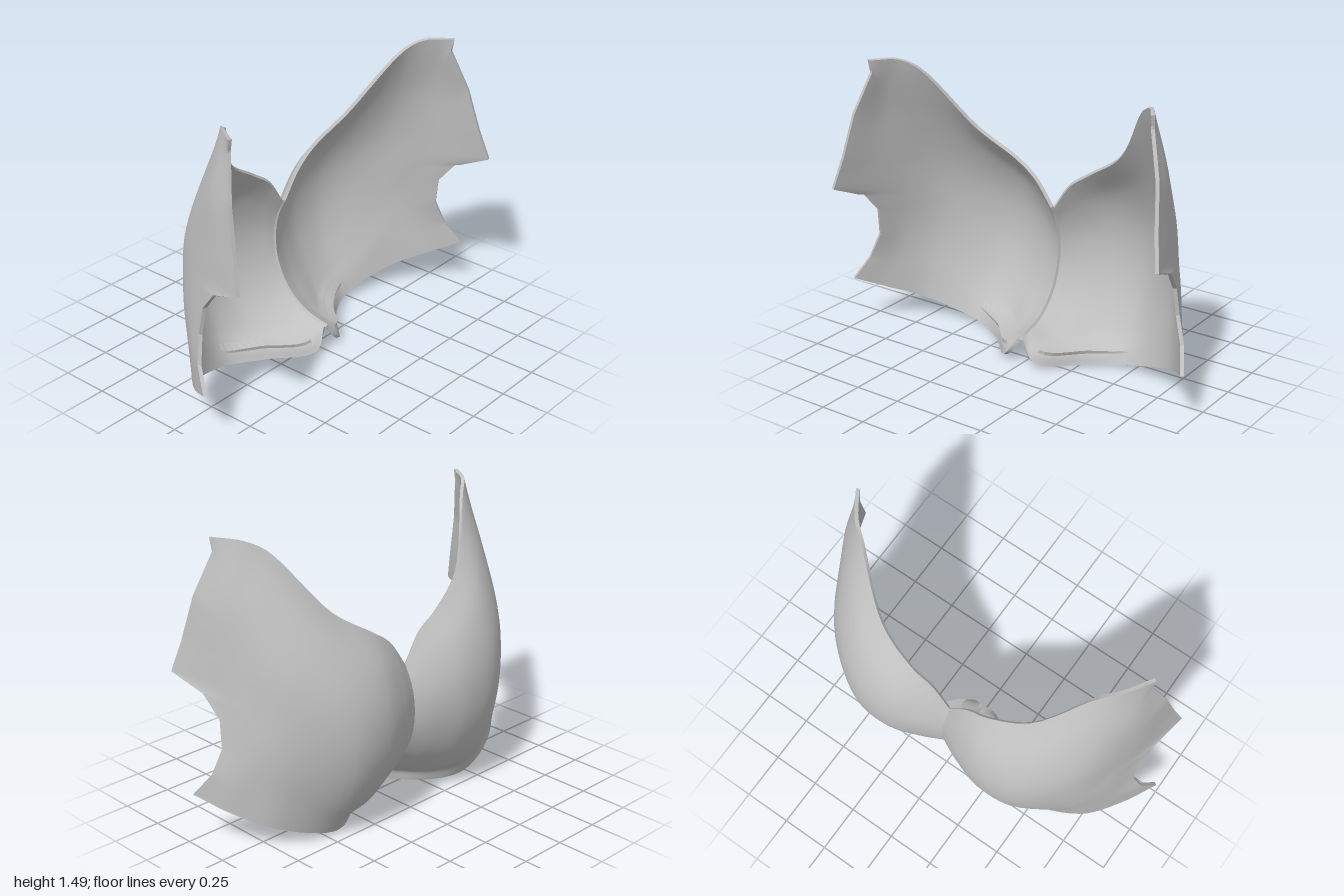
import * as THREE from 'three';

const THICK = 0.018, NU = 36, NV = 54;
const V = (x, y, z) => new THREE.Vector3(x, y, z);
const curve = pts => new THREE.CatmullRomCurve3(pts.map(p => V(...p)));

// Upright rails of one half, from the centre seam outwards, each bottom to top
const rails = [
  curve([[0, .14, .08], [0, .15, .03], [0, .19, -.09], [0, .29, -.2], [0, .43, -.262], [0, .57, -.272], [0, .68, -.25], [0, .77, -.205]]),
  curve([[.08, .042, .085], [.085, .085, .055], [.1, .125, -.09], [.11, .25, -.235], [.12, .43, -.318], [.12, .62, -.333], [.115, .78, -.285], [.1, .91, -.2]]),
  curve([[.26, .01, -.09], [.265, .065, -.12], [.27, .125, -.215], [.28, .27, -.312], [.28, .46, -.373], [.28, .67, -.377], [.26, .85, -.32], [.22, .995, -.2]]),
  curve([[.46, .025, -.185], [.465, .09, -.215], [.47, .19, -.27], [.47, .36, -.335], [.475, .55, -.363], [.475, .76, -.342], [.46, .97, -.26], [.42, 1.13, -.145]]),
  curve([[.75, .12, -.11], [.725, .27, -.15], [.715, .45, -.19], [.71, .65, -.2], [.72, .87, -.16], [.71, 1.17, -.055], [.65, 1.44, .03]]),
  curve([[.9, .2, .045], [.85, .4, -.03], [.82, .6, -.06], [.83, .78, .0], [.855, .95, .1], [.82, 1.22, .1], [.735, 1.488, .1]]),
];

// Outer edge with sharp corners around the arm opening and shoulder
const edge = [[1, .28, .2], [.95, .39, .12], [.905, .52, .09], [.895, .66, .11], [.915, .77, .2],
  [.955, .84, .38], [.92, 1.0, .335], [.885, 1.22, .28], [.815, 1.43, .215], [.82, 1.495, .225]].map(p => V(...p));
function edgePoint(v) {
  const f = v * (edge.length - 1), i = Math.min(Math.floor(f), edge.length - 2);
  return edge[i].clone().lerp(edge[i + 1], f - i);
}

const rowCurve = v => new THREE.CatmullRomCurve3([...rails.map(r => r.getPoint(v)), edgePoint(v)]);

// Grid of points for the outer skin, and the inner skin set in along the normals
function skins() {
  const outer = [];
  for (let j = 0; j <= NV; j++) {
    const row = rowCurve(j / NV);
    for (let i = 0; i <= NU; i++) outer.push(row.getPoint(i / NU));
  }
  const n = gridGeometry(outer, false).attributes.normal;
  const inner = outer.map((p, k) => {
    const q = p.clone().addScaledVector(V(n.getX(k), n.getY(k), n.getZ(k)), THICK);
    q.x = Math.max(q.x, 0.002);
    return q;
  });
  return { outer, inner };
}

function gridGeometry(points, flip) {
  const index = [], w = NU + 1;
  for (let j = 0; j < NV; j++) for (let i = 0; i < NU; i++) {
    const a = j * w + i, b = a + 1, c = a + w, d = c + 1;
    if (flip) index.push(a, d, b, a, c, d);
    else index.push(a, b, d, a, d, c);
  }
  const g = new THREE.BufferGeometry().setFromPoints(points);
  g.setIndex(index);
  g.computeVertexNormals();
  return g;
}

// Ribbon of flat quads between two lines of points
function ribbon(a, b) {
  const pts = [];
  for (let i = 0; i < a.length - 1; i++) pts.push(a[i], b[i], b[i + 1], a[i], b[i + 1], a[i + 1]);
  const g = new THREE.BufferGeometry().setFromPoints(pts);
  g.computeVertexNormals();
  return g;
}

export function createModel() {
  const model = new THREE.Group();
  model.name = 'chestShell';
  const grey = new THREE.MeshStandardMaterial({ color: 0xc0c0c0, side: THREE.DoubleSide });
  grey.name = 'lightGrey';

  const { outer, inner } = skins();
  const w = NU + 1;

  // Indices once around the border of the grid
  const border = [];
  for (let i = 0; i < NU; i++) border.push(i);
  for (let j = 0; j < NV; j++) border.push(j * w + NU);
  for (let i = NU; i > 0; i--) border.push(NV * w + i);
  for (let j = NV; j >= 0; j--) border.push(j * w);

  // Pleat along the underside: a ridge that fades out towards the side
  const ridge = [], above = [], below = [];
  const row = Math.round(NV / 7);
  for (let i = NU / 6; i <= NU * 0.52; i++) {
    const k = row * w + i, fade = Math.sin(Math.PI * (0.25 + 0.75 * (i / NU - 1 / 6) / 0.354));
    const dir = inner[k].clone().sub(outer[k]).normalize();
    ridge.push(inner[k].clone().addScaledVector(dir, 0.016 * Math.max(fade, 0)));
    above.push(inner[k + 3 * w].clone());
    below.push(inner[k - w].clone());
  }

  const parts = (side) => {
    const m = pts => pts.map(p => V(p.x * side, p.y, p.z));
    const o = m(outer), n = m(inner), r = m(ridge);
    const pair = (a, b) => side > 0 ? ribbon(a, b) : ribbon(b, a);
    return {
      outerSkin: gridGeometry(o, side > 0),
      innerSkin: gridGeometry(n, side < 0),
      rim: pair(border.map(k => n[k]), border.map(k => o[k])),
      pleatTop: pair(m(above), r),
      pleatUnderside: pair(r, m(below)),
    };
  };

  // Left and right halves meet at the centre seam
  for (const [side, name] of [[1, 'leftHalf'], [-1, 'rightHalf']]) {
    const half = new THREE.Group();
    half.name = name;
    for (const [part, geometry] of Object.entries(parts(side))) {
      const mesh = new THREE.Mesh(geometry, grey);
      mesh.name = part;
      half.add(mesh);
    }
    model.add(half);
  }
  return model;
}
